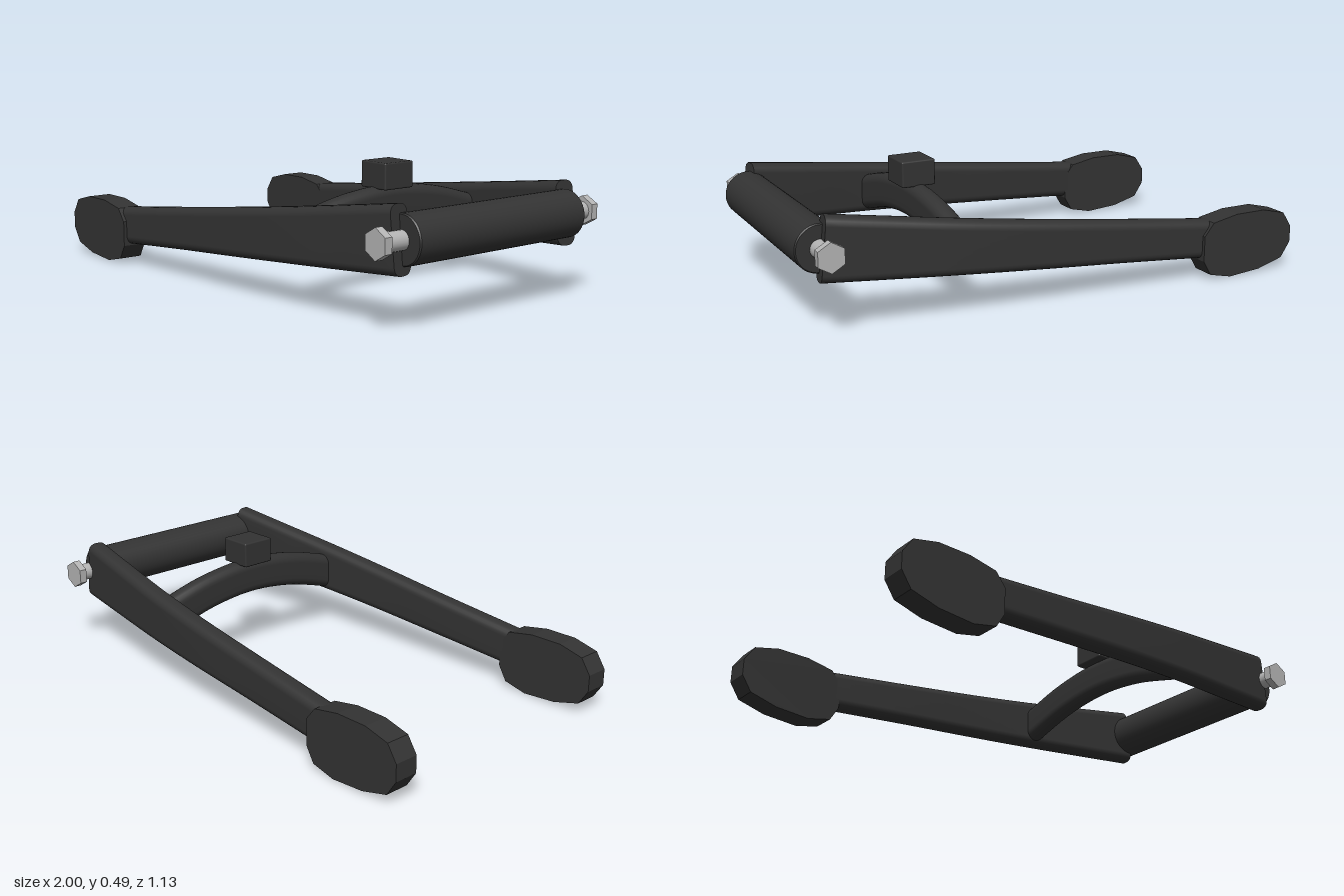
import * as THREE from 'three';
import { RoundedBoxGeometry } from 'three/addons/geometries/RoundedBoxGeometry.js';

const V = (x, y, z) => new THREE.Vector3(x, y, z);

// Rounded-rectangle outline as [side, up] pairs, counter-clockwise
function roundedSection(w, h, r, steps = 5) {
  const pts = [];
  const corners = [[1, 1], [-1, 1], [-1, -1], [1, -1]];
  corners.forEach(([sx, sy], c) => {
    for (let i = 0; i <= steps; i++) {
      const a = (c + i / steps) * Math.PI / 2;
      pts.push([sx * (w - r) + r * Math.cos(a), sy * (h - r) + r * Math.sin(a)]);
    }
  });
  return pts;
}

// Sweep a section of changing size along a curve, with flat end caps
function sweep(curve, sectionAt, rings) {
  const pos = [], index = [];
  const ring = (t) => {
    const c = curve.getPoint(t);
    const tan = curve.getTangent(t);
    const side = tan.clone().cross(V(0, 1, 0)).normalize();
    const up = side.clone().cross(tan);
    return sectionAt(t).map(([a, b]) => c.clone().addScaledVector(side, a).addScaledVector(up, b));
  };
  const n = sectionAt(0).length;
  for (let i = 0; i <= rings; i++) {
    ring(i / rings).forEach((p) => pos.push(p.x, p.y, p.z));
    if (i === rings) break;
    for (let j = 0; j < n; j++) {
      const a = i * n + j, b = i * n + (j + 1) % n;
      index.push(a, a + n, b, b, a + n, b + n);
    }
  }
  // side x up points back along the path, so the start cap keeps the outline order
  for (const t of [0, 1]) {
    const base = pos.length / 3;
    ring(t).forEach((p) => pos.push(p.x, p.y, p.z));
    for (let j = 1; j < n - 1; j++) {
      if (t === 0) index.push(base, base + j, base + j + 1);
      else index.push(base, base + j + 1, base + j);
    }
  }
  const g = new THREE.BufferGeometry();
  g.setAttribute('position', new THREE.Float32BufferAttribute(pos, 3));
  g.setIndex(index);
  g.computeVertexNormals();
  return g;
}

export function createModel() {
  const group = new THREE.Group();
  const dark = new THREE.MeshStandardMaterial({ color: 0x333333 });
  dark.name = 'dark frame paint';
  const steel = new THREE.MeshStandardMaterial({ color: 0xb4b4b4 });
  steel.name = 'bolt steel';
  const add = (name, geometry, material) => {
    const mesh = new THREE.Mesh(geometry, material);
    mesh.name = name;
    group.add(mesh);
    return mesh;
  };

  // Pivot tube with slightly eased rims
  const R = 0.088, L = 0.4;
  const tube = [[0, -L], [R - 0.004, -L], [R - 0.004, -L], [R, -L + 0.005], [R, -L + 0.005],
    [R, L - 0.005], [R, L - 0.005], [R - 0.004, L], [R - 0.004, L], [0, L]]
    .map(([x, y]) => new THREE.Vector2(x, y));
  const pivot = add('pivotTube', new THREE.LatheGeometry(tube, 40), dark);
  pivot.rotation.x = Math.PI / 2;
  pivot.position.set(0.908, 0.315, 0);

  // Outline of the axle plates
  const plate = new THREE.Shape([
    [-0.96, 0.04], [-0.85, 0.01], [-0.71, 0], [-0.615, 0.022], [-0.58, 0.08], [-0.58, 0.18],
    [-0.62, 0.23], [-0.73, 0.25], [-0.86, 0.25], [-0.96, 0.225], [-1, 0.165], [-1, 0.1],
  ].map(([x, y]) => new THREE.Vector2(x, y)));

  for (const s of [1, -1]) {
    const label = s > 0 ? 'Front' : 'Back';

    // Tapering, gently bowed arm
    const path = new THREE.CatmullRomCurve3([
      V(-0.74, 0.145, 0.518 * s), V(-0.25, 0.195, 0.495 * s), V(0.1, 0.231, 0.48 * s),
      V(0.4, 0.262, 0.458 * s), V(0.65, 0.288, 0.43 * s), V(0.903, 0.315, 0.401 * s),
    ]);
    add('arm' + label, sweep(path, (t) => roundedSection(0.041, 0.073 + 0.046 * t, 0.032), 24), dark);

    // Axle plate
    const g = new THREE.ExtrudeGeometry(plate, { depth: 0.095, bevelEnabled: false });
    g.translate(0, 0, s > 0 ? 0.47 : -0.565);
    add('axlePlate' + label, g, dark);

    // Pivot bolt shank and hexagonal head
    const shank = add('boltShank' + label, new THREE.CylinderGeometry(0.034, 0.034, 0.12, 24), steel);
    shank.rotation.x = Math.PI / 2;
    shank.position.set(0.908, 0.315, 0.435 * s);
    const hexGeometry = new THREE.CylinderGeometry(0.055, 0.055, 0.03, 6).toNonIndexed();
    hexGeometry.computeVertexNormals();
    const head = add('boltHead' + label, hexGeometry, steel);
    head.rotation.x = Math.PI / 2;
    head.position.set(0.908, 0.315, 0.5 * s);
  }

  // Arched cross brace
  const arch = new THREE.CatmullRomCurve3([
    V(0.385, 0.245, -0.44), V(0.385, 0.303, -0.22), V(0.385, 0.325, 0),
    V(0.385, 0.303, 0.22), V(0.385, 0.245, 0.44),
  ]);
  add('crossBrace', sweep(arch, () => roundedSection(0.04, 0.07, 0.036), 24), dark);

  // Shock mount block on top of the brace
  const block = add('mountBlock', new RoundedBoxGeometry(0.135, 0.1, 0.138, 2, 0.006), dark);
  block.position.set(0.387, 0.436, 0);

  return group;
}
